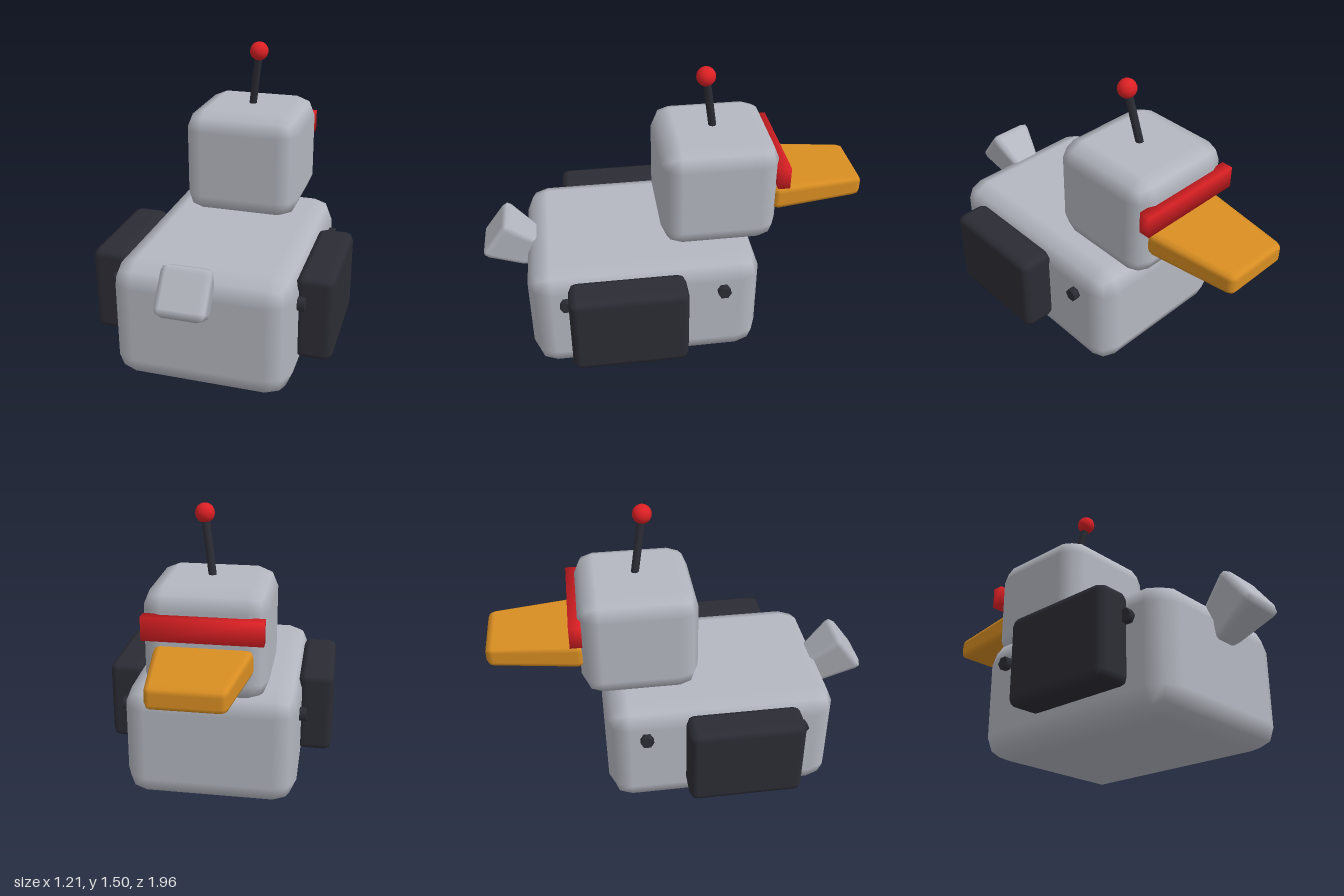
import * as THREE from 'three';

const mat = (name, color) => {
  const m = new THREE.MeshStandardMaterial({ color });
  m.name = name;
  return m;
};

// Box with two-step rounded edges; the -z and +z ends can be scaled to taper it
function roundedBox(w, h, d, r, back = [1, 1], front = [1, 1]) {
  const geo = new THREE.BoxGeometry(1, 1, 1, 3, 3, 3);
  const pos = geo.attributes.position, nor = geo.attributes.normal;
  const p = new THREE.Vector3(), n = new THREE.Vector3();
  const slopeX = (front[0] - back[0]) * w / 2 / d;
  const slopeY = (front[1] - back[1]) * h / 2 / d;
  const edge = (v) => (Math.abs(v) > 0.4 ? Math.sign(v) : 0);
  for (let i = 0; i < pos.count; i++) {
    p.fromBufferAttribute(pos, i);
    n.set(edge(p.x), edge(p.y), edge(p.z)).normalize();
    const x = Math.sign(p.x) * (w / 2 - r) + n.x * r;
    const y = Math.sign(p.y) * (h / 2 - r) + n.y * r;
    const z = Math.sign(p.z) * (d / 2 - r) + n.z * r;
    const t = z / d + 0.5;
    pos.setXYZ(i, x * THREE.MathUtils.lerp(back[0], front[0], t),
      y * THREE.MathUtils.lerp(back[1], front[1], t), z);
    n.z -= Math.abs(n.x) * slopeX + Math.abs(n.y) * slopeY;
    n.normalize();
    nor.setXYZ(i, n.x, n.y, n.z);
  }
  return geo;
}

// Box whose corners share soft normals
function softBox(w, h, d) {
  const geo = new THREE.BoxGeometry(w, h, d);
  const pos = geo.attributes.position, k = 1 / Math.sqrt(3);
  for (let i = 0; i < pos.count; i++) {
    geo.attributes.normal.setXYZ(i, Math.sign(pos.getX(i)) * k,
      Math.sign(pos.getY(i)) * k, Math.sign(pos.getZ(i)) * k);
  }
  return geo;
}

export function createModel() {
  const group = new THREE.Group();
  const grey = mat('light grey metal', 0xb4b7c0);
  const dark = mat('dark metal', 0x2c2c35);
  const red = mat('red', 0xdc2024);
  const orange = mat('orange', 0xd98e22);

  const add = (name, geo, material, x, y, z) => {
    const m = new THREE.Mesh(geo, material);
    m.name = name;
    m.position.set(x, y, z);
    group.add(m);
    return m;
  };

  // Body and head
  add('body', roundedBox(0.88, 0.61, 1.18, 0.115), grey, 0, 0.305, 0.15);
  add('head', roundedBox(0.6, 0.55, 0.59, 0.1), grey, 0, 0.885, -0.245);

  // Tail, flaring outwards and tipped up
  const tail = add('tail', roundedBox(0.26, 0.25, 0.27, 0.04, [0.52, 0.68]),
    grey, 0, 0.548, 0.798);
  tail.rotation.x = -0.64;

  // Beak, narrowing to the tip
  add('beak', roundedBox(0.48, 0.135, 0.48, 0.035, [0.73, 0.8]), orange, 0, 0.83, -0.76);

  // Visor
  add('visor', softBox(0.57, 0.115, 0.06), red, 0, 0.987, -0.555);

  // Leaning antenna with a ball
  const base = new THREE.Vector3(0, 1.13, -0.243);
  const tip = new THREE.Vector3(0.048, 1.45, -0.192);
  const rod = add('antenna', new THREE.CylinderGeometry(0.02, 0.02, base.distanceTo(tip), 8),
    dark, 0, 0, 0);
  rod.position.copy(base).lerp(tip, 0.5);
  rod.quaternion.setFromUnitVectors(new THREE.Vector3(0, 1, 0), tip.clone().sub(base).normalize());
  add('antennaBall', new THREE.SphereGeometry(0.048, 16, 12), red, tip.x, tip.y, tip.z);

  // Wings and side bolts
  for (const [side, s] of [['left', 1], ['right', -1]]) {
    add(side + 'Wing', roundedBox(0.185, 0.44, 0.585, 0.04), dark, s * 0.514, 0.355, 0.248);
    for (const [place, z] of [['front', -0.242], ['rear', 0.552]]) {
      const bolt = add(side + place + 'Bolt', new THREE.CylinderGeometry(0.034, 0.034, 0.1, 6),
        dark, s * 0.425, 0.447, z);
      bolt.rotation.z = Math.PI / 2;
    }
  }
  return group;
}
